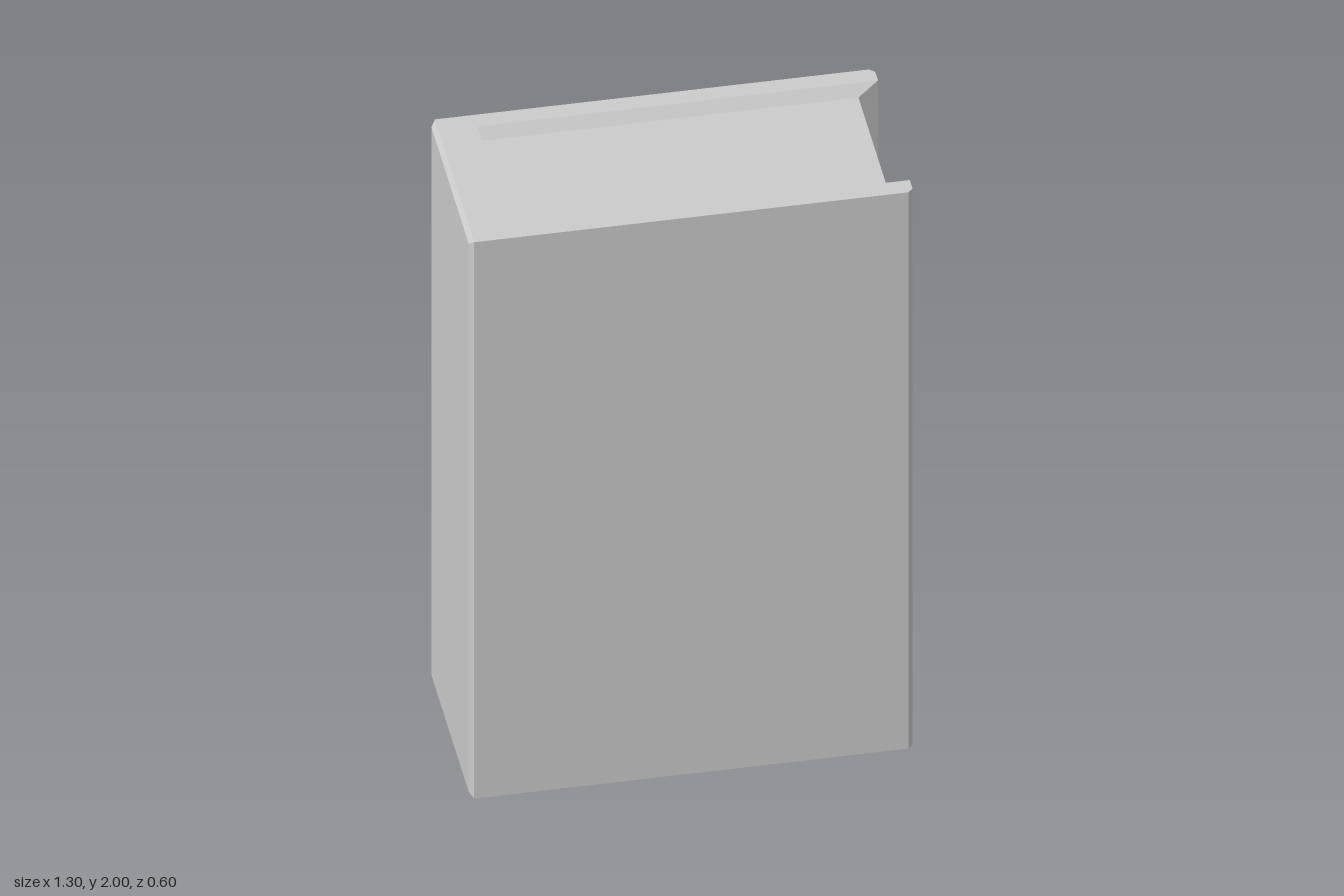
import * as THREE from 'three';

const H = 2, W = 0.65, D = 0.3;          // height, half width, half thickness
const SPINE_X = -0.637, WELL_X = -0.523; // start of the spine bevel, inner face of the spine
const PAGE_X = 0.588, PAGE_Z = 0.218, PAGE_Y = 0.034;
const COVER_Z = 0.243;                   // inner edge of each cover
const BEVEL = 0.015;

const material = new THREE.MeshStandardMaterial({ color: 0xcccccc, side: THREE.DoubleSide });

// Flat-faced band joining two matching lists of corners
function band(a, b) {
  const pos = [];
  for (let i = 0; i < a.length - 1; i++) {
    for (const p of [a[i], a[i + 1], b[i + 1], a[i], b[i + 1], b[i]]) pos.push(...p);
  }
  const geo = new THREE.BufferGeometry();
  geo.setAttribute('position', new THREE.Float32BufferAttribute(pos, 3));
  geo.computeVertexNormals();
  return geo;
}

function add(group, name, geo) {
  const mesh = new THREE.Mesh(geo, material);
  mesh.name = name;
  group.add(mesh);
  return mesh;
}

export function createModel() {
  const book = new THREE.Group();
  book.name = 'book';

  // U-shaped cover: plan outline extruded upward, with bevelled fore edges
  const plan = [
    [SPINE_X, -D], [W - BEVEL, -D], [W, -D + BEVEL], [W, -COVER_Z],
    [WELL_X, -COVER_Z], [WELL_X, COVER_Z],
    [W, COVER_Z], [W, D - BEVEL], [W - BEVEL, D], [SPINE_X, D],
  ].map(([x, z]) => new THREE.Vector2(x, z));
  const cover = new THREE.ExtrudeGeometry(new THREE.Shape(plan), { depth: H, bevelEnabled: false });
  cover.rotateX(-Math.PI / 2);
  add(book, 'cover', cover);

  // Spine face, bevelled on all four edges
  const ring = (x, inset) => [[0, -1], [0, 1], [1, 1], [1, -1], [0, -1]]
    .map(([up, side]) => [x, up ? H - inset : inset, side * (D - inset)]);
  add(book, 'spineBevel', band(ring(-W, BEVEL), ring(SPINE_X, 0)));
  const face = new THREE.PlaneGeometry(2 * (D - BEVEL), H - 2 * BEVEL);
  face.rotateY(-Math.PI / 2);
  add(book, 'spineFace', face).position.set(-W, H / 2, 0);

  // Recessed block of pages
  const pages = new THREE.BoxGeometry(PAGE_X - WELL_X, H - 2 * PAGE_Y, 2 * PAGE_Z);
  add(book, 'pages', pages).position.set((PAGE_X + WELL_X) / 2, H / 2, 0);

  // Sloped margins from the cover edges down to the pages
  for (const side of [1, -1]) {
    const outer = [[WELL_X, H], [W, H], [W, 0], [WELL_X, 0]]
      .map(([x, y]) => [x, y, side * COVER_Z]);
    const inner = [[WELL_X, H - PAGE_Y], [PAGE_X, H - PAGE_Y], [PAGE_X, PAGE_Y], [WELL_X, PAGE_Y]]
      .map(([x, y]) => [x, y, side * PAGE_Z]);
    add(book, side > 0 ? 'frontMargin' : 'backMargin',
      side > 0 ? band(inner, outer) : band(outer, inner));
  }

  return book;
}
